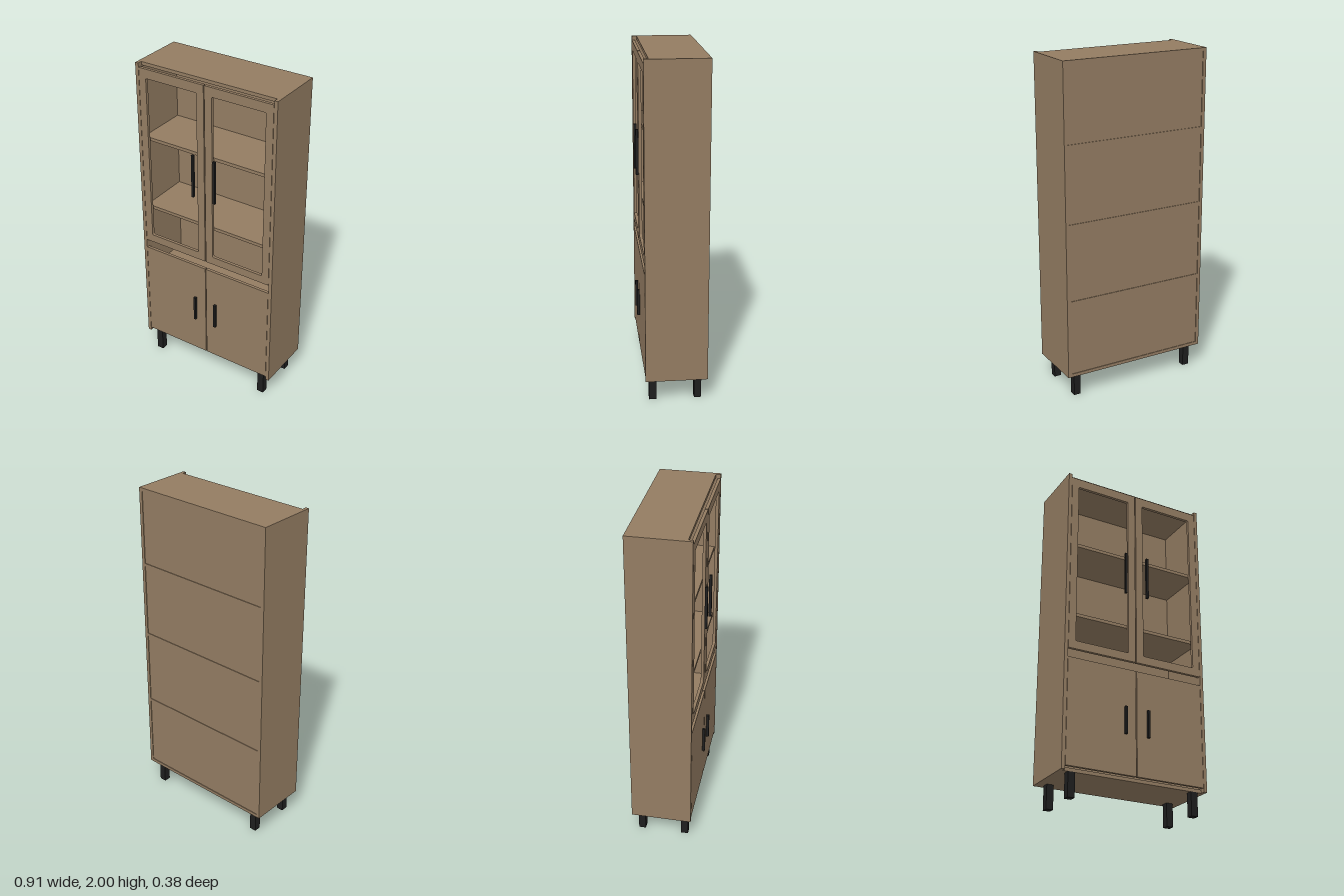
import * as THREE from 'three';

export function createModel() {
  const root = new THREE.Group();
  root.name = 'displayCabinet';
  const wood = new THREE.MeshStandardMaterial({ color: 0x937c62 });
  wood.name = 'brown wood';
  const black = new THREE.MeshStandardMaterial({ color: 0x1e1e1e });
  black.name = 'black metal';

  // Box given by its min and max corners
  function box(name, mat, x0, x1, y0, y1, z0, z1) {
    const mesh = new THREE.Mesh(new THREE.BoxGeometry(x1 - x0, y1 - y0, z1 - z0), mat);
    mesh.position.set((x0 + x1) / 2, (y0 + y1) / 2, (z0 + z1) / 2);
    mesh.name = name;
    root.add(mesh);
  }

  const W = 0.456, IN = 0.435, BACK = -0.19, FRONT = 0.171, BOARD = 0.143;
  const BOTTOM = 0.14, T = 0.02, DOOR = 0.153;

  // Boards between the side panels: bottom, three shelves, top
  const boards = [['bottomPanel', 0.16], ['lowerShelf', 0.62], ['middleShelf', 1.084],
    ['upperShelf', 1.542], ['topPanel', 2]];
  for (const [name, top] of boards) box(name, wood, -IN, IN, top - T, top, BACK, BOARD);

  // Slightly inset back panel
  box('backPanel', wood, -IN, IN, BOTTOM + 0.002, 1.998, BACK + 0.004, BACK + 0.01);

  // Rounded window opening, traced as a hole
  function windowPath(x0, x1, y0, y1, r) {
    const p = new THREE.Path();
    p.moveTo(x0 + r, y0);
    p.lineTo(x1 - r, y0);
    p.quadraticCurveTo(x1, y0, x1, y0 + r);
    p.lineTo(x1, y1 - r);
    p.quadraticCurveTo(x1, y1, x1 - r, y1);
    p.lineTo(x0 + r, y1);
    p.quadraticCurveTo(x0, y1, x0, y1 - r);
    p.lineTo(x0, y0 + r);
    p.quadraticCurveTo(x0, y0, x0 + r, y0);
    return p;
  }

  for (const s of [-1, 1]) {
    const side = s > 0 ? 'left' : 'right';
    const span = (a, b) => (s > 0 ? [a, b] : [-b, -a]);

    box(side + 'SidePanel', wood, ...span(IN, W), BOTTOM, 2, BACK, FRONT);
    box(side + 'LowerDoor', wood, ...span(0.003, 0.433), 0.163, 0.79, DOOR, FRONT);

    // Upper door frame with an open window
    const [x0, x1] = span(0.003, 0.433);
    const shape = new THREE.Shape();
    shape.moveTo(x0, 0.845);
    shape.lineTo(x1, 0.845);
    shape.lineTo(x1, 1.976);
    shape.lineTo(x0, 1.976);
    shape.closePath();
    shape.holes.push(windowPath(...span(0.05, 0.388), 0.895, 1.92, 0.008));
    const geo = new THREE.ExtrudeGeometry(shape, { depth: FRONT - DOOR, bevelEnabled: false, curveSegments: 4 });
    const door = new THREE.Mesh(geo, wood);
    door.position.z = DOOR;
    door.name = side + 'UpperDoor';
    root.add(door);

    // Handle bars
    box(side + 'UpperHandle', black, ...span(0.065, 0.079), 1.274, 1.542, 0.174, 0.19);
    box(side + 'LowerHandle', black, ...span(0.065, 0.079), 0.396, 0.558, 0.174, 0.19);

    // Square legs
    for (const [name, z] of [['FrontLeg', 0.126], ['BackLeg', -0.138]]) {
      box(side + name, black, ...span(0.363, 0.405), 0, BOTTOM, z - 0.021, z + 0.021);
    }
  }
  return root;
}
